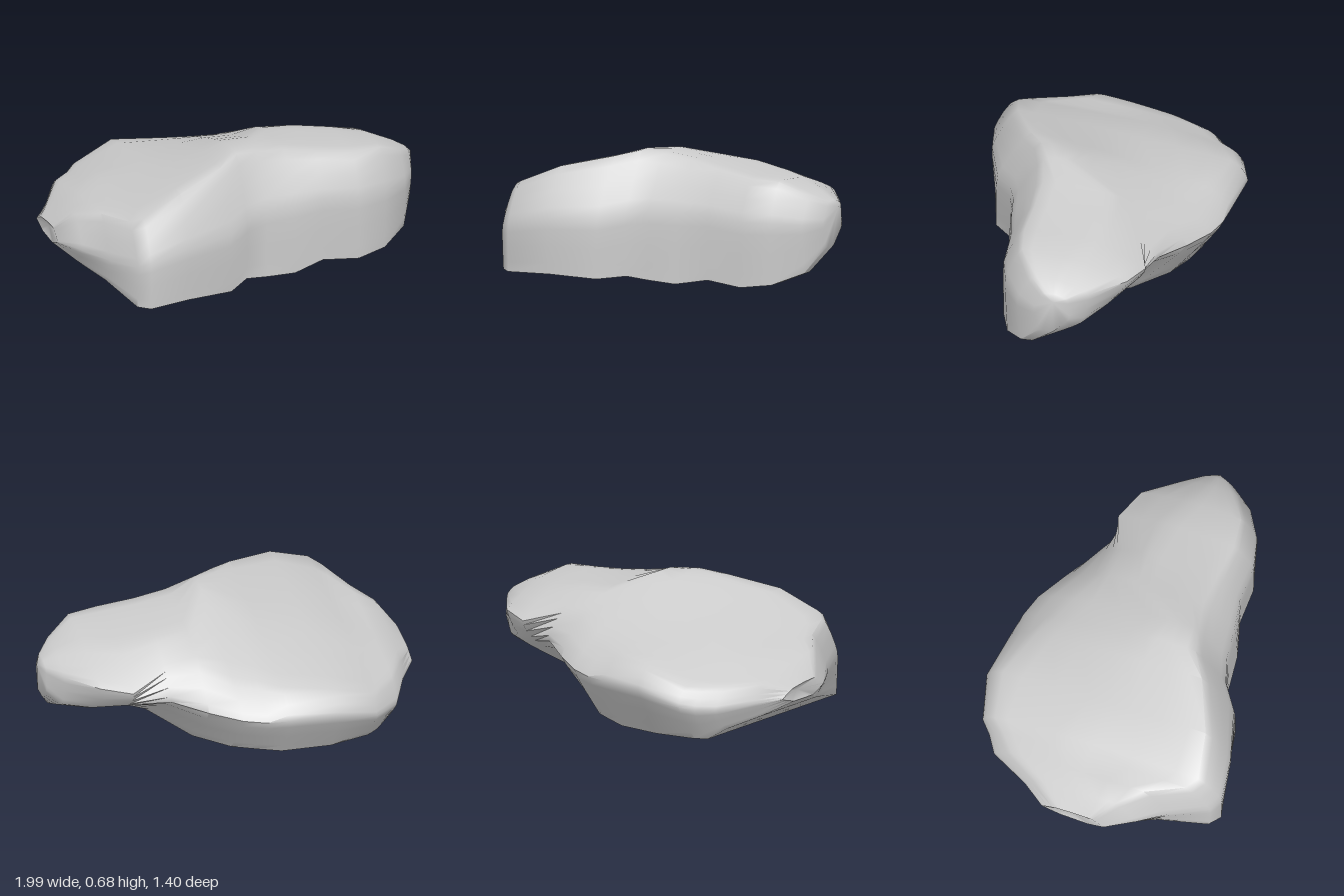
import * as THREE from 'three';
import { toCreasedNormals } from 'three/addons/utils/BufferGeometryUtils.js';

// Lower half of each cross-section along x:
// x, base y, back foot z, back bulge z y, front bulge z y, front foot z
const lower = [
  [-0.99, 0.19, -0.08, -0.18, 0.22, 0.17, 0.23, 0.08],
  [-0.9, 0.13, -0.25, -0.31, 0.21, 0.32, 0.23, 0.22],
  [-0.8, 0.08, -0.42, -0.52, 0.2, 0.46, 0.22, 0.4],
  [-0.71, 0.02, -0.46, -0.58, 0.2, 0.66, 0.25, 0.65],
  [-0.65, 0.02, -0.5, -0.64, 0.22, 0.7, 0.28, 0.7],
  [-0.43, 0.02, -0.54, -0.7, 0.29, 0.67, 0.32, 0.65],
  [-0.17, 0.01, -0.5, -0.66, 0.29, 0.59, 0.33, 0.6],
  [-0.05, 0.02, -0.46, -0.64, 0.29, 0.5, 0.36, 0.49],
  [0.07, 0.01, -0.38, -0.6, 0.3, 0.46, 0.38, 0.48],
  [0.23, 0.0, -0.2, -0.5, 0.32, 0.44, 0.38, 0.46],
  [0.4, 0.03, 0.08, -0.38, 0.35, 0.41, 0.38, 0.41],
  [0.6, 0.01, 0.28, -0.25, 0.29, 0.41, 0.36, 0.41],
  [0.76, 0.03, 0.24, -0.14, 0.24, 0.37, 0.36, 0.36],
  [0.9, 0.09, 0.2, -0.06, 0.24, 0.28, 0.35, 0.26],
  [0.97, 0.22, 0.07, -0.01, 0.31, 0.18, 0.35, 0.15],
];

// Upper half of the same sections: back shoulder z y, crown z y, front ridge z y
const upper = [
  [-0.1, 0.26, 0, 0.275, 0.1, 0.28],
  [-0.24, 0.3, 0, 0.36, 0.2, 0.39],
  [-0.42, 0.31, -0.1, 0.38, 0.32, 0.43],
  [-0.5, 0.31, -0.15, 0.4, 0.52, 0.455],
  [-0.57, 0.32, -0.15, 0.425, 0.57, 0.485],
  [-0.61, 0.41, 0, 0.51, 0.53, 0.58],
  [-0.52, 0.42, 0, 0.57, 0.41, 0.64],
  [-0.45, 0.44, 0.05, 0.63, 0.33, 0.67],
  [-0.4, 0.455, 0.14, 0.67, 0.3, 0.655],
  [-0.3, 0.51, -0.1, 0.6, 0.27, 0.63],
  [-0.28, 0.48, -0.1, 0.59, 0.28, 0.6],
  [-0.35, 0.42, -0.08, 0.56, 0.3, 0.575],
  [-0.28, 0.44, 0, 0.55, 0.28, 0.57],
  [-0.1, 0.43, 0.05, 0.5, 0.2, 0.5],
  [0.0, 0.43, 0.06, 0.46, 0.13, 0.455],
];

const ARC = 24; // segments from back foot over the ridge to front foot
const BASE = 4; // segments across the underside
const RING = ARC + BASE;

// One closed ring: a softened arch plus a straight underside
function ringPoints([x, y0, backFoot, bz, by, fz, fy, frontFoot], i) {
  const [sz, sy, cz, cy, rz, ry] = upper[i];
  const at = (z, y) => new THREE.Vector3(x, y, z);
  const arch = new THREE.CatmullRomCurve3([
    at(backFoot, y0), at(bz, by), at(sz, sy), at(cz, cy), at(rz, ry), at(fz, fy), at(frontFoot, y0),
  ], false, 'catmullrom', 0.2);
  const points = arch.getPoints(ARC);
  for (let k = 1; k < BASE; k++) {
    points.push(at(THREE.MathUtils.lerp(frontFoot, backFoot, k / BASE), y0));
  }
  return points;
}

function boulderGeometry() {
  const points = lower.flatMap(ringPoints);
  const index = [];
  for (let i = 0; i < lower.length - 1; i++) {
    for (let j = 0; j < RING; j++) {
      const a = i * RING + j;
      const b = i * RING + ((j + 1) % RING);
      index.push(a, b, a + RING, b, b + RING, a + RING);
    }
  }
  // Close both ends: a slight hollow at -x, a blunt point at +x
  const hollow = points.push(new THREE.Vector3(-0.97, 0.24, -0.03)) - 1;
  const tip = points.push(new THREE.Vector3(1, 0.43, 0.07)) - 1;
  const last = (lower.length - 1) * RING;
  for (let j = 0; j < RING; j++) {
    const k = (j + 1) % RING;
    index.push(hollow, k, j, tip, last + j, last + k);
  }
  const geometry = new THREE.BufferGeometry().setFromPoints(points);
  geometry.setIndex(index);
  return toCreasedNormals(geometry, 1);
}

export function createModel() {
  const model = new THREE.Group();
  model.name = 'rock';
  const boulder = new THREE.Mesh(
    boulderGeometry(),
    new THREE.MeshStandardMaterial({ color: 0xcccccc }),
  );
  boulder.name = 'boulder';
  model.add(boulder);
  return model;
}
